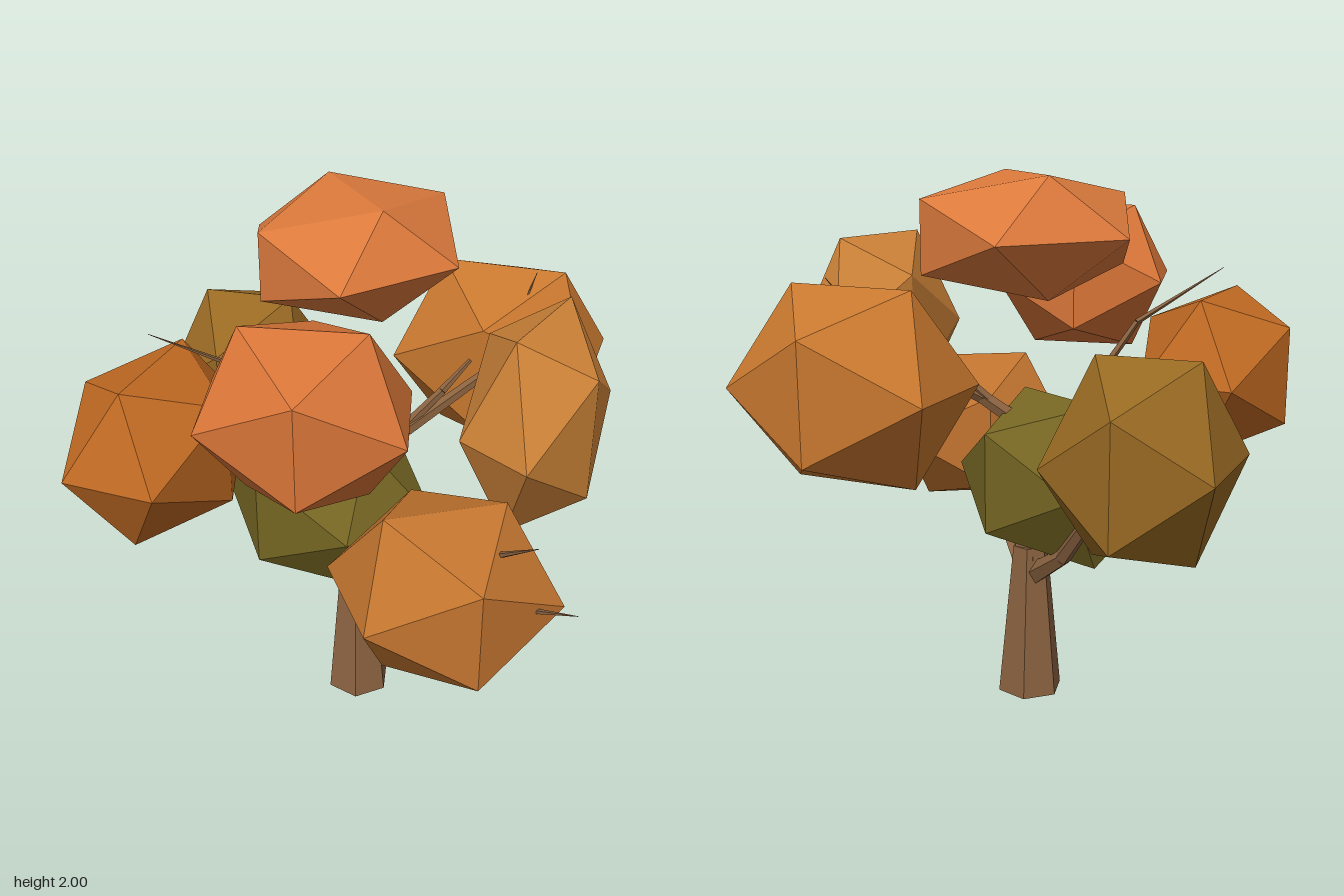
import * as THREE from 'three';

const GOLDEN = (1 + Math.sqrt(5)) / 2;

const material = (color) => new THREE.MeshStandardMaterial({ color, flatShading: true });

// Leaf clump: an icosahedron stretched along two ground axes ([x, z] each) and a vertical one
function clump(color, center, a, b, height) {
  const geometry = new THREE.IcosahedronGeometry(Math.hypot(1, GOLDEN), 0);
  const flip = a[1] * b[0] - a[0] * b[1] < 0 ? -1 : 1;
  const basis = new THREE.Matrix4().makeBasis(
    new THREE.Vector3(a[0], 0, a[1]),
    new THREE.Vector3(b[0] * flip, 0, b[1] * flip),
    new THREE.Vector3(0, height, 0)
  );
  geometry.applyMatrix4(basis);
  const mesh = new THREE.Mesh(geometry, material(color));
  mesh.position.set(...center);
  return mesh;
}

// Tapered limb through points given as [x, y, z, radius]
function limb(name, points, bark, sides = 5) {
  const group = new THREE.Group();
  group.name = name;
  for (let i = 0; i < points.length - 1; i++) {
    const [p, q] = [points[i], points[i + 1]];
    const from = new THREE.Vector3(p[0], p[1], p[2]);
    const to = new THREE.Vector3(q[0], q[1], q[2]);
    const dir = to.clone().sub(from);
    const mesh = new THREE.Mesh(new THREE.CylinderGeometry(q[3], p[3], dir.length(), sides), bark);
    mesh.name = name + 'Segment';
    mesh.position.copy(from).add(to).multiplyScalar(0.5);
    mesh.quaternion.setFromUnitVectors(new THREE.Vector3(0, 1, 0), dir.normalize());
    group.add(mesh);
  }
  return group;
}

// Trunk: six-sided, level foot, leaning slightly as it rises
function trunk(bark) {
  const height = 0.6;
  const geometry = new THREE.CylinderGeometry(0.068, 0.127, height, 6);
  geometry.rotateY(0.25);
  geometry.translate(0, height / 2, 0);
  const p = geometry.attributes.position;
  for (let i = 0; i < p.count; i++) {
    const t = p.getY(i) / height;
    p.setX(i, p.getX(i) - 0.027 - 0.01 * t);
    p.setZ(i, p.getZ(i) + 0.008 - 0.018 * t);
  }
  geometry.computeVertexNormals();
  const mesh = new THREE.Mesh(geometry, bark);
  mesh.name = 'trunk';
  return mesh;
}

export function createModel() {
  const tree = new THREE.Group();
  tree.name = 'autumnTree';
  const bark = material(0x8a6240);
  tree.add(trunk(bark));

  // Main limbs and the twigs that poke through the leaves
  const limbs = {
    leader: [[-0.035, 0.55, -0.01, 0.065], [-0.03, 0.85, 0, 0.05], [0.02, 1.1, -0.01, 0.035]],
    frontRightLimb: [[-0.02, 0.48, 0, 0.045], [0.17, 0.66, 0.17, 0.035], [0.42, 0.8, 0.36, 0.024]],
    frontRightLowTwig: [[0.42, 0.8, 0.36, 0.02], [0.78, 0.94, 0.56, 0.01], [0.93, 1.03, 0.66, 0.001]],
    frontRightHighTwig: [[0.42, 0.8, 0.36, 0.02], [0.64, 1.12, 0.55, 0.012], [0.79, 1.25, 0.66, 0.001]],
    backLeftLimb: [[-0.05, 0.48, -0.02, 0.045], [-0.22, 0.61, -0.12, 0.032], [-0.45, 0.92, -0.28, 0.02]],
    backRightLimb: [[0.02, 1.08, -0.01, 0.03], [0.14, 1.17, -0.06, 0.026], [0.42, 1.38, -0.28, 0.017], [0.49, 1.65, -0.54, 0.001]],
    backRightTwig: [[0.1, 1.14, -0.04, 0.022], [0.25, 1.31, -0.14, 0.016], [0.33, 1.41, -0.22, 0.008]],
    frontLeftTwig: [[-0.03, 0.9, 0.02, 0.03], [-0.2, 1.16, 0.09, 0.018], [-0.37, 1.45, 0.2, 0.012], [-0.63, 1.64, 0.41, 0.001]],
  };
  for (const [name, points] of Object.entries(limbs)) tree.add(limb(name, points, bark));

  // Crown: name, colour, centre, ground axes, vertical axis
  const crown = [
    ['topLeaves', 0xdb793c, [-0.11, 1.8, -0.205], [-0.148, 0.19], [-0.162, -0.17], 0.125],
    ['frontLeaves', 0xd87538, [0.015, 1.557, 0.61], [0.052, 0.185], [0.2, -0.04], 0.174],
    ['frontLeftLeaves', 0xbf6922, [-0.61, 1.247, 0.44], [0.17, 0.006], [-0.002, 0.226], 0.182],
    ['backLeftLeaves', 0x996a23, [-0.645, 1.11, -0.435], [-0.006, -0.212], [0.175, -0.015], 0.21],
    ['innerLeaves', 0x756623, [-0.135, 0.87, 0.035], [-0.125, 0.134], [-0.187, -0.094], 0.191],
    ['frontRightLeaves', 0xc2742f, [0.45, 0.912, 0.49], [0.124, 0.165], [-0.176, 0.116], 0.185],
    ['rightLeaves', 0xcd8238, [0.645, 1.385, 0.067], [0.13, 0.074], [-0.045, 0.209], 0.22],
    ['backRightLeaves', 0xc8782f, [0.352, 1.297, -0.6], [0.005, 0.203], [0.233, -0.005], 0.21],
  ];
  for (const [name, ...shape] of crown) {
    const mesh = clump(...shape);
    mesh.name = name;
    tree.add(mesh);
  }
  return tree;
}
